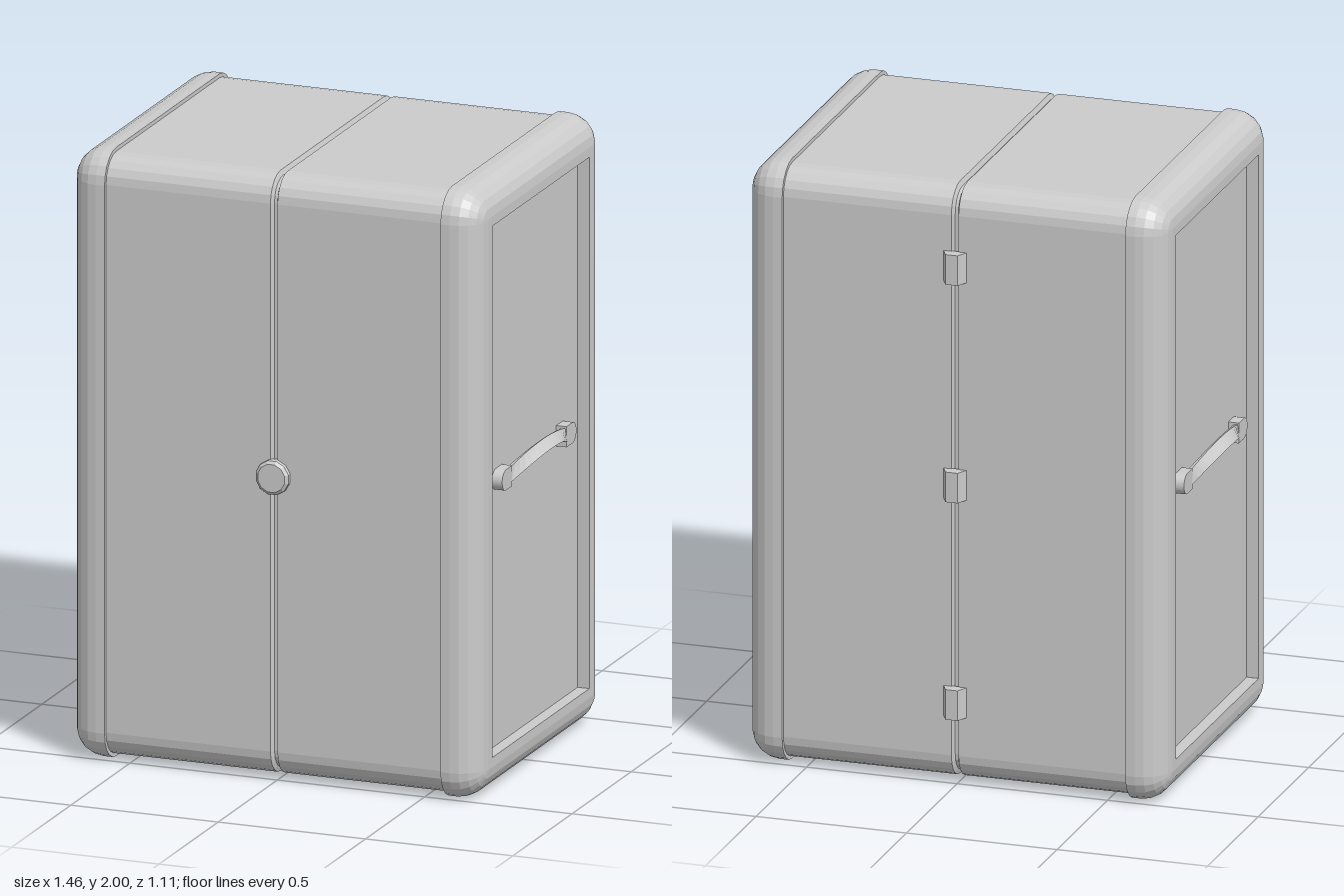
import * as THREE from 'three';

const Z0 = 0.004, HALF_H = 1, HALF_D = 0.537, RADIUS = 0.1, STEPS = 5;
const material = new THREE.MeshStandardMaterial({ color: 0xcccccc, flatShading: true });

function add(parent, name, geometry, x = 0, y = 0, z = 0) {
  const mesh = new THREE.Mesh(geometry, material);
  mesh.name = name;
  mesh.position.set(x, y, z);
  parent.add(mesh);
  return mesh;
}

// Closed solid through equal-length rings, each counter-clockwise about the path
function loft(rings) {
  const n = rings[0].length, index = [];
  for (let i = 0; i < rings.length - 1; i++) {
    for (let j = 0; j < n; j++) {
      const a = i * n + j, b = i * n + (j + 1) % n;
      index.push(a, b, a + n, b, b + n, a + n);
    }
  }
  const end = (rings.length - 1) * n;
  for (let j = 1; j < n - 1; j++) {
    index.push(0, j + 1, j, end, end + j, end + j + 1);
  }
  const g = new THREE.BufferGeometry();
  g.setAttribute('position', new THREE.Float32BufferAttribute(rings.flat(2), 3));
  g.setIndex(index);
  g.computeVertexNormals();
  return g;
}

// Rounded rectangle across the x axis, shrunk by an inset
function ring(x, inset) {
  const r = Math.max(RADIUS - inset, 0.001);
  const cy = HALF_H - inset - r, cz = HALF_D - inset - r;
  const points = [];
  [[1, 1], [-1, 1], [-1, -1], [1, -1]].forEach(([sy, sz], q) => {
    for (let i = 0; i <= STEPS; i++) {
      const a = (q + i / STEPS) * Math.PI / 2;
      points.push([x, 1 + sy * cy + r * Math.cos(a), Z0 + sz * cz + r * Math.sin(a)]);
    }
  });
  return points;
}

// Strap bowing outward and upward, twisting as it rises
function strap() {
  const rings = [], half = 0.265, n = 16;
  const low = [[0.668, 0.972], [0.680, 0.972], [0.680, 1.022], [0.668, 1.022]];
  const high = [[0.716, 1.026], [0.731, 1.033], [0.700, 1.060], [0.688, 1.052]];
  for (let i = 0; i <= n; i++) {
    const s = -1 + 2 * i / n, t = 1 - s * s;
    rings.push(low.map(([x, y], k) => [
      THREE.MathUtils.lerp(x, high[k][0], t),
      THREE.MathUtils.lerp(y, high[k][1], t),
      Z0 + s * half,
    ]));
  }
  return loft(rings);
}

function buildHalf(name) {
  const half = new THREE.Group();
  half.name = name;

  // Case shell with a bevelled edge at the central seam
  add(half, 'shell', loft([
    ring(0, 0.03), ring(0.005, 0.03), ring(0.012, 0.013), ring(0.58, 0.013),
  ]));

  // End cap: round-over, flat frame, then a recess
  const profile = [[0.57, 0]];
  for (let i = 0; i <= STEPS; i++) {
    const a = i / STEPS * Math.PI / 2;
    profile.push([0.6 + 0.095 * Math.sin(a), 0.095 * (1 - Math.cos(a))]);
  }
  profile.push([0.695, 0.127], [0.64, 0.127]);
  add(half, 'endCap', loft(profile.map(([x, inset]) => ring(x, inset))));
  add(half, 'sidePanel', new THREE.BoxGeometry(0.04, 1.746, 0.82), 0.635, 1, Z0);

  // Carrying handle with D-shaped mounts
  const handle = new THREE.Group();
  handle.name = 'handle';
  half.add(handle);
  add(handle, 'strap', strap());
  for (const s of [-1, 1]) {
    const shape = new THREE.Shape();
    shape.moveTo(-0.05, -0.034);
    shape.lineTo(0, -0.034);
    shape.absarc(0, 0, 0.034, -Math.PI / 2, Math.PI / 2, false);
    shape.lineTo(-0.05, 0.034);
    const mount = new THREE.ExtrudeGeometry(shape, { depth: 0.042, bevelEnabled: false, curveSegments: 8 });
    if (s > 0) mount.rotateZ(Math.PI);
    mount.rotateY(Math.PI / 2);
    add(handle, 'handleMount', mount, 0.648, 1.003, Z0 + s * 0.28);
  }
  return half;
}

export function createModel() {
  const model = new THREE.Group();
  model.name = 'trunk';

  const left = buildHalf('leftHalf');
  const right = buildHalf('rightHalf');
  right.scale.x = -1;
  model.add(left, right);

  // Front latch knob with a chamfered rim
  const knob = new THREE.LatheGeometry([
    [0, 0], [0.057, 0], [0.057, 0.026], [0.047, 0.034], [0, 0.034],
  ].map(([x, y]) => new THREE.Vector2(x, y)), 12);
  knob.rotateY(Math.PI / 12);
  knob.rotateX(Math.PI / 2);
  add(model, 'latchKnob', knob, 0, 1.005, 0.518);

  // Three tapered hinges along the back seam
  const section = new THREE.Shape([
    [-0.04, 0.515], [0.04, 0.515], [0.02, 0.556], [-0.02, 0.556],
  ].map(([x, y]) => new THREE.Vector2(x, y)));
  const hinge = new THREE.ExtrudeGeometry(section, { depth: 0.1, bevelEnabled: false });
  hinge.rotateX(-Math.PI / 2);
  for (const y of [0.23, 0.955, 1.68]) add(model, 'hinge', hinge, 0, y, 0);

  return model;
}
